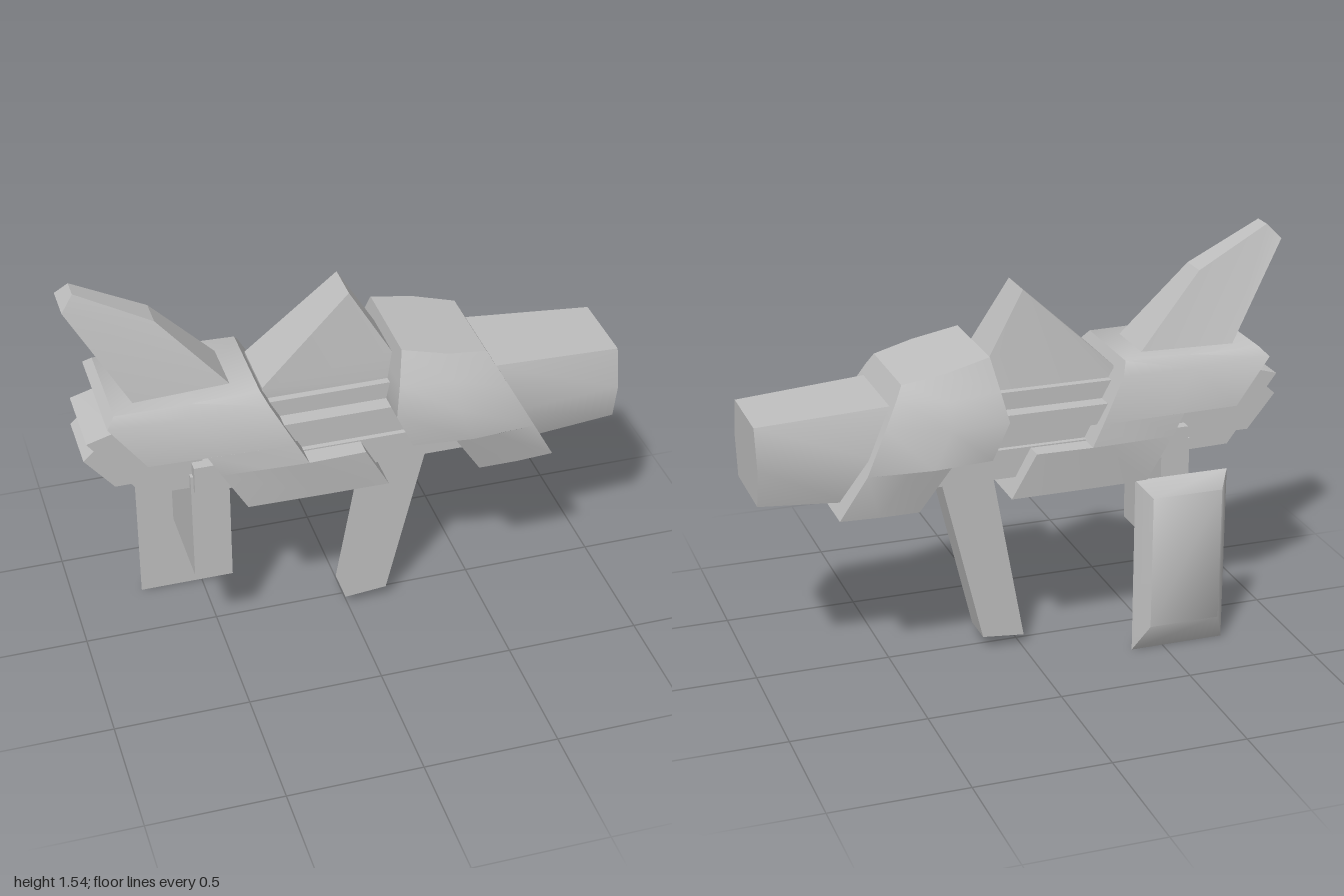
import * as THREE from 'three';
import { toCreasedNormals } from 'three/addons/utils/BufferGeometryUtils.js';

const grey = new THREE.MeshStandardMaterial({ color: 0xbfbfbf });
grey.name = 'plain grey';

const mirror = ([x, y, z]) => [x, y, -z];

// Geometry from a list of convex corner loops, with sharp edges kept
function fromFaces(faces, crease) {
  const pos = [];
  for (const f of faces) {
    for (let k = 1; k < f.length - 1; k++) pos.push(...f[0], ...f[k], ...f[k + 1]);
  }
  const g = new THREE.BufferGeometry();
  g.setAttribute('position', new THREE.Float32BufferAttribute(pos, 3));
  return toCreasedNormals(g, crease);
}

// Symmetric solid from rows (top to bottom) of [x, y, half width], each running back to front.
// Two rows at one height make a step.
function hull(rows, crease = 0.8) {
  const faces = [];
  const last = rows[0].length - 1;
  const end = rows.length - 1;
  for (let i = 0; i < end; i++) {
    const a = rows[i], b = rows[i + 1];
    const step = a[last][1] === b[last][1] && a[0][1] === b[0][1];
    for (let j = 0; j < last && !step; j++) {
      const quad = [a[j], b[j], b[j + 1], a[j + 1]];
      faces.push(quad, quad.map(mirror).reverse());
    }
    faces.push([a[last], b[last], mirror(b[last]), mirror(a[last])]);
    faces.push([mirror(a[0]), mirror(b[0]), b[0], a[0]]);
  }
  for (let j = 0; j < last; j++) {
    const t = rows[0], b = rows[end];
    faces.push([t[j], t[j + 1], mirror(t[j + 1]), mirror(t[j])]);
    faces.push([mirror(b[j]), mirror(b[j + 1]), b[j + 1], b[j]]);
  }
  return fromFaces(faces, crease);
}

// Symmetric slab from a counterclockwise side outline of [x, y, half width]
function slab(points) {
  const faces = [points, points.map(mirror).reverse()];
  points.forEach((p, k) => {
    const q = points[(k + 1) % points.length];
    faces.push([p, mirror(p), mirror(q), q]);
  });
  return fromFaces(faces, 0.3);
}

function block(x0, x1, y0, y1, half) {
  const g = new THREE.BoxGeometry(x1 - x0, y1 - y0, half * 2);
  return g.translate((x0 + x1) / 2, (y0 + y1) / 2, 0);
}

export function createModel() {
  const model = new THREE.Group();
  model.name = 'blaster';
  const add = (name, geometry) => {
    const mesh = new THREE.Mesh(geometry, grey);
    mesh.name = name;
    model.add(mesh);
    return mesh;
  };

  // Six-sided tapering barrel
  add('barrel', hull([
    [[0.5, 1.06, 0.17], [1, 1.03, 0.148]],
    [[0.58, 0.885, 0.226], [1, 0.885, 0.18]],
    [[0.68, 0.717, 0.163], [1, 0.738, 0.15]],
  ]));

  // Bulging front shell with a notch behind its lower edge
  add('frontShell', hull([
    [[0.16, 1.203, 0.185], [0.33, 1.165, 0.2], [0.48, 1.134, 0.175]],
    [[0.138, 1.09, 0.238], [0.335, 1.085, 0.262], [0.505, 1.09, 0.2]],
    [[0.117, 0.985, 0.277], [0.34, 0.99, 0.306], [0.555, 1.0, 0.235]],
    [[0.18, 0.85, 0.275], [0.4, 0.85, 0.298], [0.637, 0.85, 0.28]],
    [[0.337, 0.85, 0.292], [0.487, 0.85, 0.292], [0.637, 0.85, 0.28]],
    [[0.444, 0.68, 0.25], [0.59, 0.68, 0.25], [0.73, 0.68, 0.24]],
  ]));

  // Rear shell with a stepped lower flange reaching forward
  add('rearShell', hull([
    [[-0.87, 1.128, 0.19], [-0.6, 1.128, 0.19], [-0.353, 1.128, 0.18]],
    [[-0.9, 1.096, 0.222], [-0.6, 1.085, 0.222], [-0.33, 1.085, 0.222]],
    [[-0.77, 0.925, 0.235], [-0.5, 0.925, 0.245], [-0.243, 0.925, 0.255]],
    [[-0.56, 0.925, 0.243], [-0.4, 0.925, 0.249], [-0.243, 0.925, 0.255]],
    [[-0.514, 0.845, 0.25], [-0.35, 0.845, 0.258], [-0.2, 0.845, 0.264]],
    [[-0.514, 0.845, 0.25], [-0.25, 0.845, 0.263], [0.01, 0.845, 0.258]],
    [[-0.42, 0.68, 0.24], [-0.15, 0.68, 0.245], [0.1, 0.68, 0.247]],
  ]));

  // Inner core and its ribs between the shells
  add('core', block(-0.67, 0.5, 0.74, 1.03, 0.135));
  add('lowerCore', block(-0.6, 0.5, 0.74, 0.85, 0.19));
  add('upperRib', block(-0.34, 0.2, 0.985, 1.05, 0.15));
  add('lowerRib', block(-0.28, 0.2, 0.91, 0.985, 0.21));
  add('innerRib', block(-0.28, 0.2, 0.84, 0.91, 0.17));

  // Angled tail blocks
  add('tailBlock', slab([
    [-0.965, 1.0, 0.15], [-0.775, 0.745, 0.15], [-0.56, 0.74, 0.15],
    [-0.56, 1.04, 0.15], [-0.83, 1.04, 0.15],
  ]));
  add('innerTailBlock', slab([
    [-0.975, 0.91, 0.12], [-0.87, 0.78, 0.12], [-0.7, 0.78, 0.12],
    [-0.7, 0.96, 0.12], [-0.92, 0.96, 0.12],
  ]));

  // Swept fin and wedge sight on top
  add('rearFin', slab([
    [-1, 1.49, 0.07], [-0.79, 1.125, 0.13], [-0.44, 1.125, 0.108],
    [-0.685, 1.395, 0.054], [-0.955, 1.54, 0.037],
  ]));
  add('sight', slab([
    [-0.33, 1.095, 0.122], [-0.33, 1.04, 0.122], [0.16, 1.04, 0.122],
    [0.15, 1.15, 0.107], [0, 1.4, 0.076],
  ]));

  // Slanted grip and wide rear post
  add('grip', slab([
    [-0.01, 0.04, 0.067], [0.15, 0.055, 0.067], [0.32, 0.76, 0.067], [0.12, 0.76, 0.067],
  ])).position.z = 0.006;
  add('rearPost', block(-0.61, -0.5, 0.36, 0.8, 0.176)).position.z = -0.006;

  // Side plate with a bevelled outer face
  const plate = new THREE.BoxGeometry(1, 1, 1);
  const p = plate.attributes.position;
  for (let i = 0; i < p.count; i++) {
    const outer = p.getZ(i) < 0;
    const x = p.getX(i) < 0 ? (outer ? -0.69 : -0.738) : (outer ? -0.42 : -0.376);
    const y = p.getY(i) < 0 ? (outer ? 0.12 : 0) : (outer ? 0.635 : 0.685);
    p.setXYZ(i, x, y, outer ? -0.31 : -0.238);
  }
  add('sidePlate', toCreasedNormals(plate, 1.05));

  return model;
}
